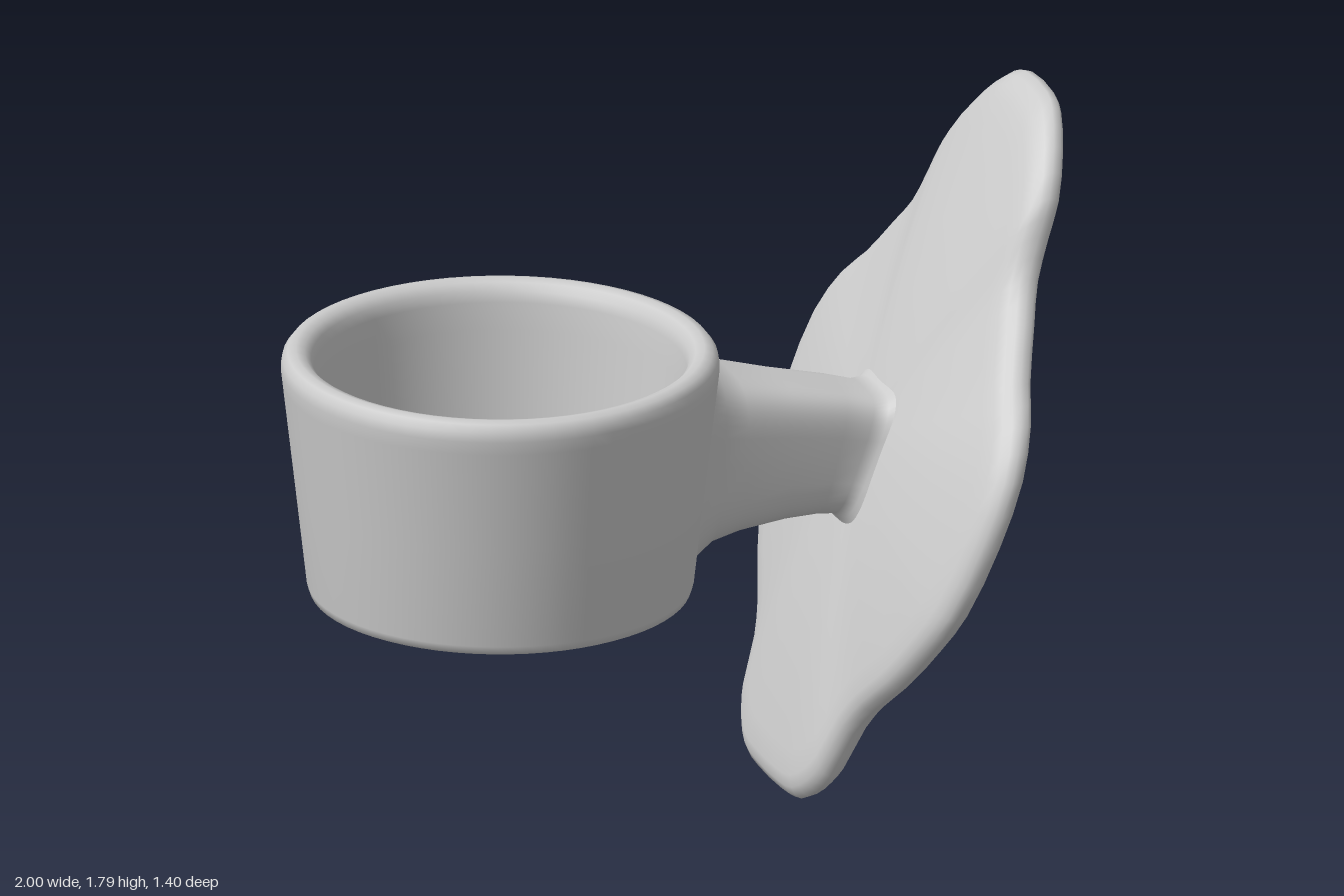
import * as THREE from 'three';

const material = new THREE.MeshStandardMaterial({ color: 0xcccccc, side: THREE.DoubleSide });

// Skins a list of closed rings; rings turn from +y towards +z and advance along +x.
function loft(rings) {
  const n = rings[0].length;
  const positions = rings.flat().flatMap((p) => [p.x, p.y, p.z]);
  const index = [];
  for (let i = 0; i < rings.length - 1; i++) {
    for (let j = 0; j < n; j++) {
      const a = i * n + j, b = i * n + ((j + 1) % n);
      index.push(a, b, a + n, b, b + n, a + n);
    }
  }
  const geometry = new THREE.BufferGeometry();
  geometry.setAttribute('position', new THREE.Float32BufferAttribute(positions, 3));
  geometry.setIndex(index);
  geometry.computeVertexNormals();
  return geometry;
}

function part(name, geometry) {
  const mesh = new THREE.Mesh(geometry, material);
  mesh.name = name;
  return mesh;
}

// Open tapered cup with rounded lips
function createRing() {
  const profile = [
    [0.437, 0.9], [0.41, 0.68], [0.402, 0.645], [0.408, 0.62], [0.425, 0.608], [0.465, 0.608],
    [0.478, 0.614], [0.485, 0.635], [0.515, 0.9], [0.546, 1.17], [0.55, 1.205], [0.546, 1.23],
    [0.533, 1.247], [0.512, 1.253], [0.49, 1.246], [0.474, 1.228], [0.467, 1.2], [0.46, 1.13], [0.437, 0.9],
  ].map(([r, y]) => new THREE.Vector2(r, y));
  const ring = part('ring', new THREE.LatheGeometry(profile, 64));
  ring.position.x = -0.45;
  return ring;
}

// Rounded-rectangle arm, flared where it meets the ring and the plate
function createArm() {
  // x, bottom, top, half depth, lean
  const sections = [
    [0.0, 0.62, 1.2, 0.22, 0.12], [0.04, 0.665, 1.18, 0.2, 0.1], [0.08, 0.7, 1.15, 0.182, 0.07],
    [0.15, 0.718, 1.12, 0.167, 0.03], [0.28, 0.73, 1.085, 0.147, 0.05], [0.4, 0.73, 1.05, 0.134, 0.25],
    [0.46, 0.725, 1.028, 0.13, 0.36], [0.49, 0.71, 1.03, 0.138, 0.39], [0.515, 0.68, 1.06, 0.16, 0.39],
    [0.55, 0.64, 1.1, 0.19, 0.39],
  ];
  const soften = (v) => Math.sign(v) * Math.abs(v) ** 0.5;
  return part('arm', loft(sections.map(([x, low, high, depth, lean]) =>
    Array.from({ length: 48 }, (_, i) => {
      const a = (i / 48) * Math.PI * 2;
      const dy = soften(Math.cos(a)) * (high - low) / 2;
      return new THREE.Vector3(x + lean * dy, (low + high) / 2 + dy, soften(Math.sin(a)) * depth);
    }))));
}

// Leaning lobed plate: flat outside, gently domed inside
function createPlate() {
  const half = [
    [0.08, 1.785], [0.14, 1.765], [0.23, 1.695], [0.31, 1.59], [0.33, 1.5], [0.36, 1.4],
    [0.43, 1.31], [0.53, 1.19], [0.62, 1.11], [0.69, 0.99], [0.7, 0.82], [0.66, 0.63],
    [0.59, 0.52], [0.49, 0.4], [0.39, 0.31], [0.33, 0.23], [0.29, 0.11], [0.25, 0.06],
    [0.18, 0.018], [0.09, 0.006],
  ];
  const mirrored = half.map(([z, y]) => [-z, y]).reverse();
  const corners = [...half, ...mirrored].map(([z, y]) => new THREE.Vector3(0, y, z));
  const outline = new THREE.CatmullRomCurve3(corners, true).getPoints(80).slice(0, -1);

  // scale of the outline, thickness
  const steps = [];
  for (const s of [0, 0.15, 0.3, 0.45, 0.6, 0.75, 0.86, 0.93]) steps.push([s, 0.075 + 0.085 * (1 - s * s)]);
  steps.push([0.965, 0.072], [0.988, 0.055], [1, 0.035], [0.995, 0.015], [0.98, 0.003], [0.95, 0], [0.5, 0], [0, 0]);
  const middle = 0.9;
  return part('plate', loft(steps.map(([s, thickness]) => outline.map((p) => {
    const y = middle + (p.y - middle) * s;
    return new THREE.Vector3(0.315 + 0.39 * y - thickness, y, p.z * s);
  }))));
}

export function createModel() {
  const model = new THREE.Group();
  model.name = 'ringHolder';
  model.add(createRing(), createArm(), createPlate());
  return model;
}
